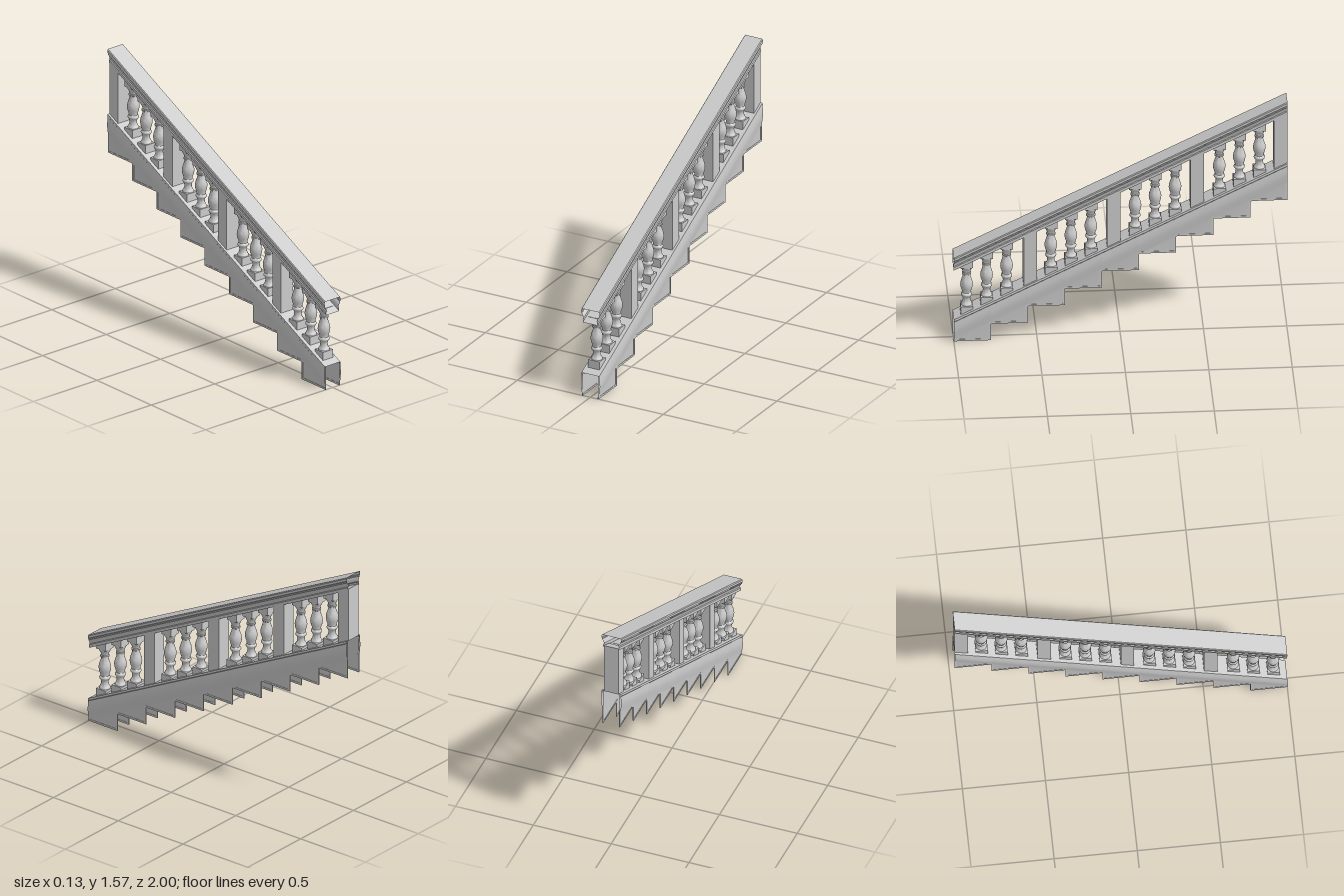
import * as THREE from 'three';
import { toCreasedNormals } from 'three/addons/utils/BufferGeometryUtils.js';

const SLOPE = 0.5;
const stringerTop = z => 0.15 + SLOPE * (1 - z);
const HEIGHT = 0.335; // clear height between stringer and rail
const material = new THREE.MeshStandardMaterial({ color: 0xcccccc, side: THREE.DoubleSide });

function addMesh(parent, geometry, name) {
  const mesh = new THREE.Mesh(geometry, material);
  mesh.name = name;
  parent.add(mesh);
  return mesh;
}

// Surface spanned by rows of [x, y, z] points of equal length.
function sheet(rows) {
  const n = rows[0].length, index = [];
  for (let i = 0; i < rows.length - 1; i++) {
    for (let j = 0; j < n - 1; j++) {
      const a = i * n + j, b = a + 1, c = a + n, d = c + 1;
      index.push(a, c, b, b, c, d);
    }
  }
  const g = new THREE.BufferGeometry();
  g.setAttribute('position', new THREE.Float32BufferAttribute(rows.flat(2), 3));
  g.setIndex(index);
  return toCreasedNormals(g, 0.6);
}

// Sweep an [x, y] profile up the incline.
const incline = profile => sheet([-1, 1].map(z =>
  profile.map(([x, y]) => [x, y + SLOPE * (1 - z), z])));

// Box whose chosen ends follow the incline.
function slopedBox(w, h, d, slopeTop, slopeBottom) {
  const g = new THREE.BoxGeometry(w, h, d);
  g.translate(0, h / 2, 0);
  const p = g.attributes.position;
  for (let i = 0; i < p.count; i++) {
    const sloped = p.getY(i) > h / 2 ? slopeTop : slopeBottom;
    if (sloped) p.setY(i, p.getY(i) - SLOPE * p.getZ(i));
  }
  g.computeVertexNormals();
  return g;
}

const STEPS = 9, RUN = 2 / STEPS, RISE = 0.1125;

// One stringer side: swelling outer skin, flat inner skin and stepped lip.
function stringerSide(s) {
  const group = new THREE.Group();
  group.name = s > 0 ? 'leftStringer' : 'rightStringer';
  const section = [[0.061, 0], [0.063, 0.014], [0.060, 0.018], [0.063, 0.04], [0.065, 0.065], [0.064, 0.085], [0.06, 0.115], [0.055, 0.146]];
  for (let k = 0; k < STEPS; k++) {
    const ends = [1 - k * RUN, 1 - (k + 1) * RUN], bottom = k * RISE;
    addMesh(group, sheet(ends.map(z => [
      ...section.map(([x, d]) => [s * x, stringerTop(z) - d, z]),
      [s * 0.055, bottom, z]])), 'stringerSkin');
    addMesh(group, sheet(ends.map(z => [
      [s * 0.053, stringerTop(z), z], [s * 0.053, bottom, z]])), 'stringerInside');
  }
  // Stepped lip along the lower edge
  const lower = [], upper = [], t = 0.012;
  for (let k = 0; k < STEPS; k++) {
    const a = k * RUN - 1, y = k * RISE;
    lower.push([a, y], [a + RUN, y]);
    upper.push([k ? a - t : a, y + t], [a + RUN - t, y + t]);
  }
  const end = (STEPS - 1) * RISE + 0.12;
  lower.push([1, end]);
  upper.push([1 - t, end]);
  const shape = new THREE.Shape([...lower, ...upper.reverse()].map(p => new THREE.Vector2(...p)));
  const lip = new THREE.ExtrudeGeometry(shape, { depth: 0.006, bevelEnabled: false });
  lip.rotateY(Math.PI / 2);
  lip.translate(s > 0 ? 0.051 : -0.057, 0, 0);
  addMesh(group, lip, 'stringerLip');
  return group;
}

export function createModel() {
  const model = new THREE.Group();
  model.name = 'stairBalustrade';

  // Hollow moulded handrail
  const half = [[0.058, 0.572], [0.0625, 0.566], [0.0625, 0.55], [0.059, 0.546], [0.059, 0.538],
    [0.053, 0.53], [0.047, 0.518], [0.046, 0.508], [0.051, 0.503], [0.051, 0.483]];
  const mirrored = half.map(([x, y]) => [-x, y]).reverse();
  addMesh(model, incline([...mirrored, ...half, mirrored[0]]), 'handrail');

  // Stringer with its sloping cover
  addMesh(model, incline([[-0.061, 0.15], [0.061, 0.15]]), 'stringerCover');
  model.add(stringerSide(1), stringerSide(-1));

  // Posts
  const post = slopedBox(0.094, HEIGHT + 0.01, 0.08, true, true);
  for (const z of [0.54, 0.04, -0.46, -0.96]) {
    addMesh(model, post, 'post').position.set(0, stringerTop(z) - 0.003, z);
  }

  // Turned balusters, three per bay
  const profile = [[0.034, 0.03], [0.034, 0.042], [0.029, 0.048], [0.024, 0.06], [0.022, 0.075],
    [0.025, 0.09], [0.032, 0.098], [0.034, 0.105], [0.031, 0.112], [0.026, 0.117], [0.028, 0.13],
    [0.035, 0.15], [0.038, 0.17], [0.036, 0.188], [0.03, 0.207], [0.024, 0.226], [0.022, 0.24],
    [0.028, 0.244], [0.028, 0.252], [0.023, 0.256], [0.025, 0.268], [0.031, 0.28], [0.036, 0.29], [0.036, 0.3]];
  const turned = toCreasedNormals(new THREE.LatheGeometry(
    profile.map(p => new THREE.Vector2(...p)), 20), 0.7);
  const foot = slopedBox(0.078, 0.034, 0.074, false, true);
  const cap = slopedBox(0.076, HEIGHT - 0.298, 0.074, true, false);
  for (let bay = 0; bay < 4; bay++) {
    for (let i = 0; i < 3; i++) {
      const z = 0.92 - bay * 0.505 - i * 0.12;
      const baluster = new THREE.Group();
      baluster.name = 'baluster';
      baluster.position.set(0, stringerTop(z), z);
      addMesh(baluster, foot, 'balusterFoot');
      addMesh(baluster, turned, 'balusterShaft');
      addMesh(baluster, cap, 'balusterCap').position.y = 0.298;
      model.add(baluster);
    }
  }
  return model;
}
